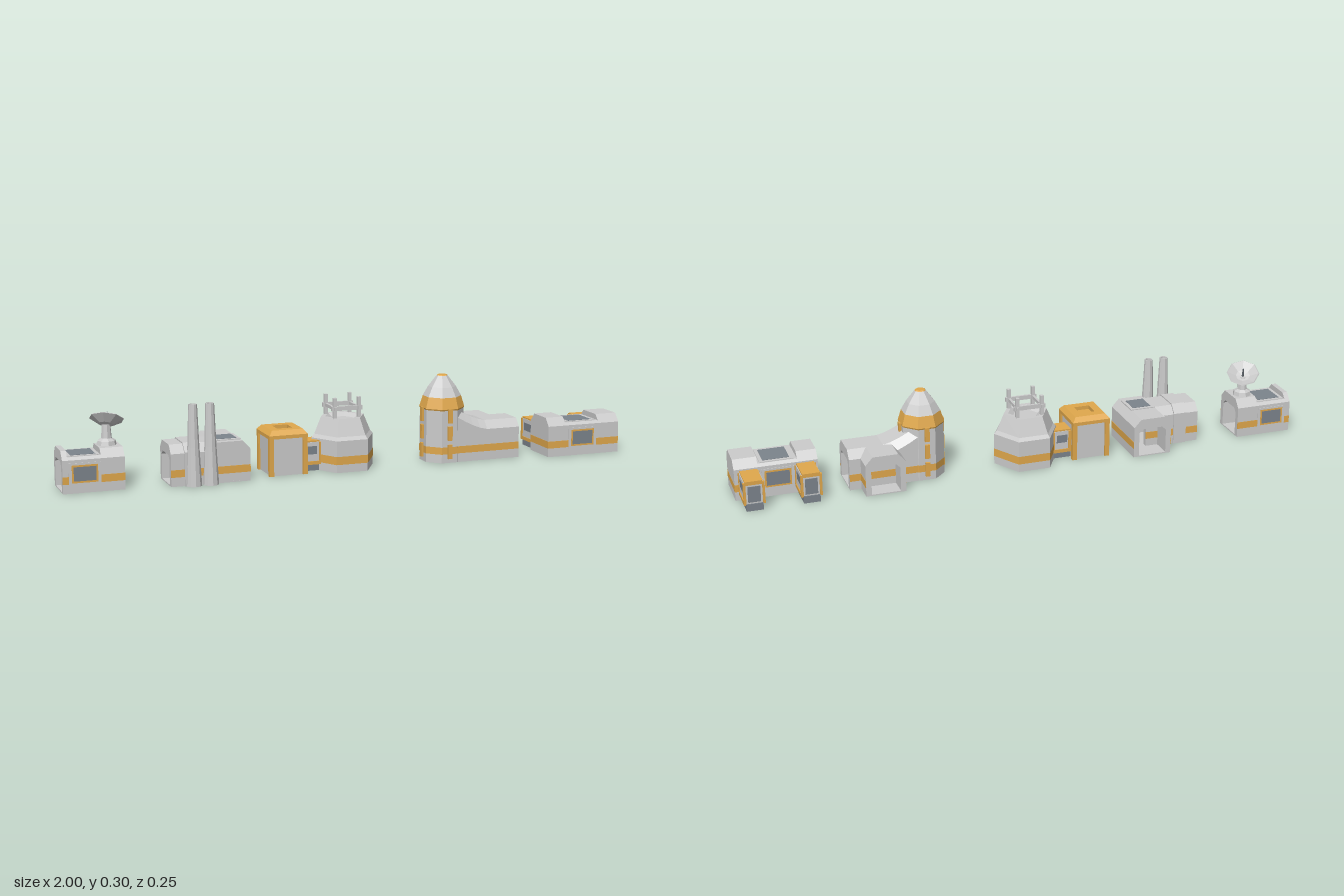
import * as THREE from 'three';

const mat = (color) => new THREE.MeshStandardMaterial({ color, flatShading: true, side: THREE.DoubleSide });
const GREY = mat(0xcccccc), ORANGE = mat(0xe0a84c), DARK = mat(0x7c848c);
const W = 0.069; // half width of a corridor

function add(parent, name, geometry, material, x = 0, y = 0, z = 0) {
  const m = new THREE.Mesh(geometry, material);
  m.name = name;
  m.position.set(x, y, z);
  parent.add(m);
  return m;
}

// box given by its extents
function box(parent, name, material, x0, x1, y0, y1, z0, z1) {
  return add(parent, name, new THREE.BoxGeometry(x1 - x0, y1 - y0, z1 - z0), material,
    (x0 + x1) / 2, (y0 + y1) / 2, (z0 + z1) / 2);
}

// faceted solid of revolution; points are [radius, y]
function turned(parent, name, material, sides, phase, points, x = 0, z = 0) {
  const pts = points.map(([r, y]) => new THREE.Vector2(r, y));
  return add(parent, name, new THREE.LatheGeometry(pts, sides, phase), material, x, 0, z);
}

function group(parent, name) {
  const g = new THREE.Group();
  g.name = name;
  parent.add(g);
  return g;
}

// corridor cross-section: chamfered roof, optional arched passage
function section(low, open) {
  const pts = low
    ? [[-W, 0], [-W, 0.11], [-0.06, 0.119], [0.06, 0.119], [W, 0.11], [W, 0]]
    : [[-W, 0], [-W, 0.11], [-0.044, 0.138], [0.044, 0.138], [W, 0.11], [W, 0]];
  if (open) pts.push([0.05, 0], [0.05, 0.088], [0.036, 0.102], [-0.036, 0.102], [-0.05, 0.088], [-0.05, 0]);
  return new THREE.Shape(pts.map(([x, y]) => new THREE.Vector2(x, y)));
}

// corridor piece along 'x' or 'z' from a to b, at lateral offset c
function corridor(parent, name, axis, a, b, c, { low = false, open = true, band = true } = {}) {
  const g = group(parent, name);
  const len = b - a;
  const geo = new THREE.ExtrudeGeometry(section(low, open), { depth: len, bevelEnabled: false });
  add(g, 'shell', geo, GREY);
  if (open) box(g, 'floor', GREY, -0.06, 0.06, 0, 0.004, 0, len);
  if (band) for (const s of [-1, 1]) {
    box(g, 'stripe', ORANGE, s * W - 0.001, s * W + 0.001, 0.031, 0.056, 0, len);
  }
  if (axis === 'x') {
    g.rotation.y = Math.PI / 2;
    g.position.set(a, 0, c);
  } else g.position.set(c, 0, a);
  return g;
}

// framed window on a wall facing z
function sideWindow(parent, x0, x1, z) {
  const g = group(parent, 'window');
  box(g, 'windowFrame', GREY, x0, x1, 0.026, 0.1, z - 0.002, z + 0.002);
  box(g, 'windowSill', ORANGE, x0 + 0.01, x1 - 0.01, 0.034, 0.093, z - 0.0025, z + 0.0025);
  box(g, 'pane', DARK, x0 + 0.016, x1 - 0.016, 0.04, 0.087, z - 0.003, z + 0.003);
}

function skylight(parent, x0, x1, z0, z1, y) {
  box(parent, 'skylightFrame', GREY, x0, x1, y - 0.004, y + 0.002, z0, z1);
  box(parent, 'skylightPane', DARK, x0 + 0.012, x1 - 0.012, y, y + 0.003, z0 + 0.012, z1 - 0.012);
}

// small connector with an orange frame, running along its local z
function airlock(parent, len, half) {
  const g = group(parent, 'airlock');
  box(g, 'base', DARK, -half * 0.8, half * 0.8, 0, 0.025, 0, len);
  box(g, 'body', GREY, -half * 0.92, half * 0.92, 0.025, 0.1, 0.004, len - 0.004);
  box(g, 'roof', ORANGE, -half * 0.85, half * 0.85, 0.092, 0.105, 0, len);
  for (const s of [-1, 1]) {
    box(g, 'sill', ORANGE, s * half * 0.93 - 0.003, s * half * 0.93 + 0.003, 0.022, 0.034, 0, len);
    for (const z of [0, len - 0.01]) {
      box(g, 'post', ORANGE, s * half * 0.9 - 0.004, s * half * 0.9 + 0.004, 0.025, 0.1, z, z + 0.01);
    }
    box(g, 'pane', DARK, s * half * 0.92 - 0.001, s * half * 0.92 + 0.001, 0.058, 0.086, len * 0.2, len * 0.75);
  }
  box(g, 'door', DARK, -half * 0.6, half * 0.6, 0.03, 0.085, 0.002, 0.006);
  return g;
}

// corridor with radar dish
function dishModule(root) {
  const g = group(root, 'dishModule');
  corridor(g, 'endSection', 'x', -1, -0.982, 0);
  corridor(g, 'windowSection', 'x', -0.982, -0.872, 0, { low: true });
  corridor(g, 'dishSection', 'x', -0.872, -0.795, 0);
  skylight(g, -0.98, -0.874, -0.055, 0.055, 0.119);
  for (const s of [-1, 1]) sideWindow(g, -0.98, -0.874, s * W);
  turned(g, 'pedestal', GREY, 8, 0, [[0.034, 0.136], [0.03, 0.152], [0.018, 0.16], [0.014, 0.205], [0, 0.205]], -0.837, -0.008);
  const dish = group(g, 'dish');
  dish.position.set(-0.837, 0.205, -0.008);
  dish.rotation.set(-0.5, 0, -0.22);
  turned(dish, 'reflector', GREY, 8, Math.PI / 8, [[0, -0.006], [0.025, 0], [0.058, 0.02], [0.055, 0.023], [0.025, 0.006], [0, 0.002]]);
  add(dish, 'feedSpike', new THREE.CylinderGeometry(0.002, 0.004, 0.045, 6), DARK, 0, 0.022, 0);
}

// corner corridor with two chimneys
function chimneyModule(root) {
  const g = group(root, 'chimneyModule');
  const z = 0.025;
  corridor(g, 'sideCorridor', 'x', -0.648, -0.45, z);
  corridor(g, 'collar', 'x', -0.602, -0.555, z, { band: false }).scale.set(1.07, 1.03, 1);
  corridor(g, 'backCorridor', 'z', -0.115, z + W, -0.445);
  box(g, 'frontWall', GREY, -0.5, -0.39, 0, 0.106, 0.085, 0.0935);
  box(g, 'frontStripe', ORANGE, -0.513, -0.377, 0.031, 0.056, 0.09, 0.095);
  skylight(g, -0.49, -0.4, -0.025, 0.07, 0.139);
  for (const x of [-0.572, -0.514]) {
    turned(g, 'chimney', GREY, 10, 0, [[0, 0], [0.027, 0], [0.02, 0.13], [0.0145, 0.273], [0.011, 0.273], [0.011, 0.255], [0, 0.255]], x, 0.097);
  }
}

// orange cabin, connector and hexagonal tower
function towerModule(root) {
  const g = group(root, 'towerModule');
  const cabin = group(g, 'cabin');
  cabin.position.x = -0.233;
  const q = Math.SQRT2;
  box(cabin, 'cabinBody', GREY, -0.061, 0.061, 0, 0.14, -0.063, 0.063);
  turned(cabin, 'cabinRoof', ORANGE, 4, Math.PI / 4,
    [[0.068, 0.128], [0.068, 0.14], [0.055, 0.156], [0.027, 0.156], [0.027, 0.143], [0, 0.143]].map(([r, y]) => [r * q, y])).scale.z = 1.05;
  for (const sx of [-1, 1]) for (const sz of [-1, 1]) {
    box(cabin, 'cornerPost', ORANGE, sx * 0.06 - 0.008, sx * 0.06 + 0.008, 0, 0.132, sz * 0.062 - 0.008, sz * 0.062 + 0.008);
  }
  const link = airlock(g, 0.07, 0.037);
  link.rotation.y = Math.PI / 2;
  link.position.set(-0.17, 0, -0.003);

  const tower = group(g, 'tower');
  tower.position.set(-0.013, 0, -0.003);
  turned(tower, 'towerBody', GREY, 6, Math.PI / 6,
    [[0, 0], [0.113, 0], [0.113, 0.11], [0.103, 0.122], [0.078, 0.18], [0.062, 0.18], [0.045, 0.168], [0, 0.168]]);
  turned(tower, 'towerStripe', ORANGE, 6, Math.PI / 6, [[0.114, 0.028], [0.114, 0.056]]);
  for (const s of [-1, 1]) {
    for (const t of [-1, 1]) box(tower, 'mast', GREY, s * 0.044 - 0.006, s * 0.044 + 0.006, 0.165, 0.25, t * 0.045 - 0.006, t * 0.045 + 0.006);
    box(tower, 'rail', GREY, -0.056, 0.056, 0.205, 0.22, s * 0.045 - 0.004, s * 0.045 + 0.004);
    box(tower, 'crossRail', GREY, s * 0.044 - 0.004, s * 0.044 + 0.004, 0.207, 0.218, -0.056, 0.056);
  }
}

// rocket-shaped tower sloping down to a T-shaped corridor
function rocketModule(root) {
  const g = group(root, 'rocketModule');
  const z = 0.012, x = 0.355, p = Math.PI / 8, k = 1 / Math.cos(p);
  const part = (name, m, pts) => turned(g, name, m, 8, p, pts.map(([r, y]) => [r * k, y]), x, z);
  part('rocketBody', GREY, [[0.071, 0], [0.071, 0.185]]);
  part('rocketStripe', ORANGE, [[0.072, 0.031], [0.072, 0.056]]);
  part('rocketCollar', ORANGE, [[0.071, 0.185], [0.073, 0.19], [0.062, 0.229]]);
  part('noseCone', GREY, [[0.062, 0.229], [0.045, 0.262], [0.018, 0.3]]);
  part('noseTip', ORANGE, [[0.018, 0.3], [0.015, 0.303], [0, 0.303]]);
  for (let i = 0; i < 4; i++) {
    const rib = group(g, 'rib');
    rib.position.set(x, 0, z);
    rib.rotation.y = i * Math.PI / 2;
    for (const y of [0.015, 0.08, 0.142]) {
      box(rib, 'ribBlock', ORANGE, 0.066, 0.079, y, y + 0.05, -0.008, 0.008);
    }
  }
  // roof that sweeps up to the rocket
  const len = 0.135;
  const geo = new THREE.ExtrudeGeometry(section(false, false), { depth: len, steps: 5, bevelEnabled: false });
  const v = geo.attributes.position;
  for (let i = 0; i < v.count; i++) {
    const t = Math.max(0, 1 - v.getZ(i) / len);
    if (v.getY(i) > 0.1) v.setY(i, v.getY(i) + 0.062 * Math.pow(t, 1.4));
  }
  geo.computeVertexNormals();
  add(g, 'sweptRoof', geo, GREY, x + 0.01, 0, z).rotation.y = Math.PI / 2;
  for (const s of [-1, 1]) box(g, 'sweptStripe', ORANGE, x + 0.01, 0.5, 0.031, 0.056, z + s * W - 0.001, z + s * W + 0.001);
  corridor(g, 'mainCorridor', 'x', 0.5, 0.624, z);
  corridor(g, 'backCorridor', 'z', -0.123, z, 0.516);
}

// closed room with two airlocks at the back
function dockModule(root) {
  const g = group(root, 'dockModule');
  const z = 0.055;
  corridor(g, 'leftEnd', 'x', 0.72, 0.788, z, { open: false });
  corridor(g, 'middle', 'x', 0.788, 0.92, z, { open: false, low: true });
  corridor(g, 'rightEnd', 'x', 0.92, 1, z, { open: false });
  for (const x of [0.72, 0.9995]) box(g, 'endStripe', ORANGE, x - 0.001, x + 0.001, 0.031, 0.056, z - W, z + W);
  skylight(g, 0.798, 0.912, z - 0.057, z + 0.057, 0.119);
  for (const s of [-1, 1]) sideWindow(g, 0.8, 0.91, z + s * W);
  for (const x of [0.763, 0.952]) airlock(g, 0.1, 0.035).position.set(x, 0, -0.108);
}

export function createModel() {
  const root = new THREE.Group();
  root.name = 'baseModules';
  dishModule(root);
  chimneyModule(root);
  towerModule(root);
  rocketModule(root);
  dockModule(root);
  return root;
}
